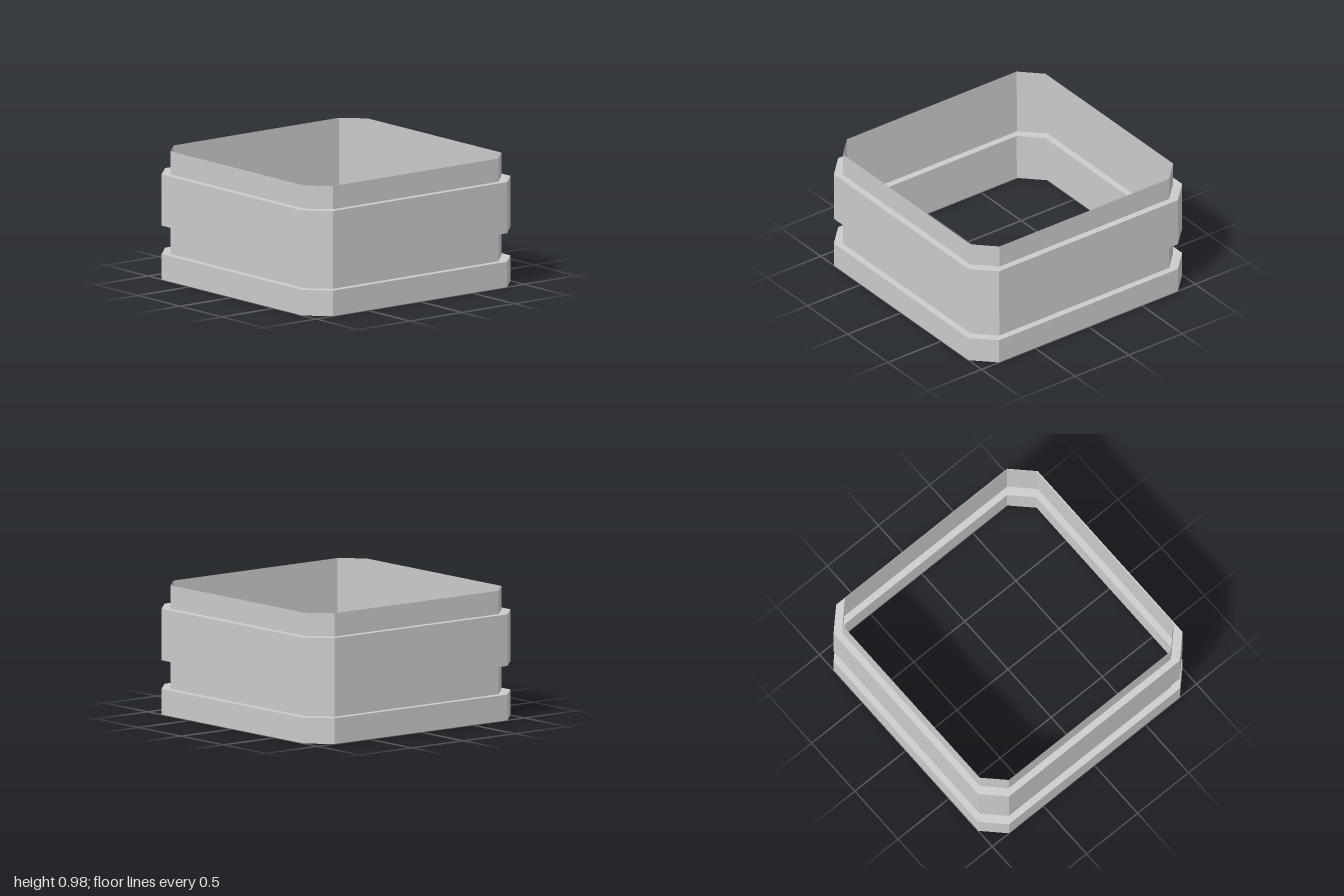
import * as THREE from 'three';

const material = new THREE.MeshStandardMaterial({
  color: 0xcccccc, flatShading: true, side: THREE.DoubleSide,
});

// Square outline with chamfered corners: half = half width, flat = half length of each straight side
const OUTER = { half: 1, flat: 0.837 };
const INNER = { half: 0.948, flat: 0.794 };

function outline({ half, flat }, y) {
  const points = [];
  for (let side = 0; side < 4; side++) {
    for (const x of [-flat, flat]) {
      points.push(new THREE.Vector3(x, y, half).applyAxisAngle(THREE.Object3D.DEFAULT_UP, side * Math.PI / 2));
    }
  }
  return points;
}

// Thin strip joining two outlines, facing outward
function strip(name, [fromSize, fromY], [toSize, toY]) {
  const a = outline(fromSize, fromY);
  const b = outline(toSize, toY);
  const corners = [];
  for (let i = 0; i < a.length; i++) {
    const j = (i + 1) % a.length;
    corners.push(a[i], a[j], b[j], a[i], b[j], b[i]);
  }
  const geometry = new THREE.BufferGeometry().setFromPoints(corners);
  geometry.computeVertexNormals();
  const mesh = new THREE.Mesh(geometry, material);
  mesh.name = name;
  return mesh;
}

export function createModel() {
  const group = new THREE.Group();
  group.name = 'steppedFrame';

  // Wall profile from the floor up: alternating raised and recessed bands
  const profile = [
    [OUTER, 0], [OUTER, 0.195], [INNER, 0.195], [INNER, 0.412],
    [OUTER, 0.412], [OUTER, 0.803], [INNER, 0.803], [INNER, 0.98],
  ];
  const names = ['baseBand', 'baseLedge', 'lowerRecess', 'middleUnderside',
    'middleBand', 'middleLedge', 'topRim'];
  names.forEach((name, i) => group.add(strip(name, profile[i], profile[i + 1])));

  return group;
}
